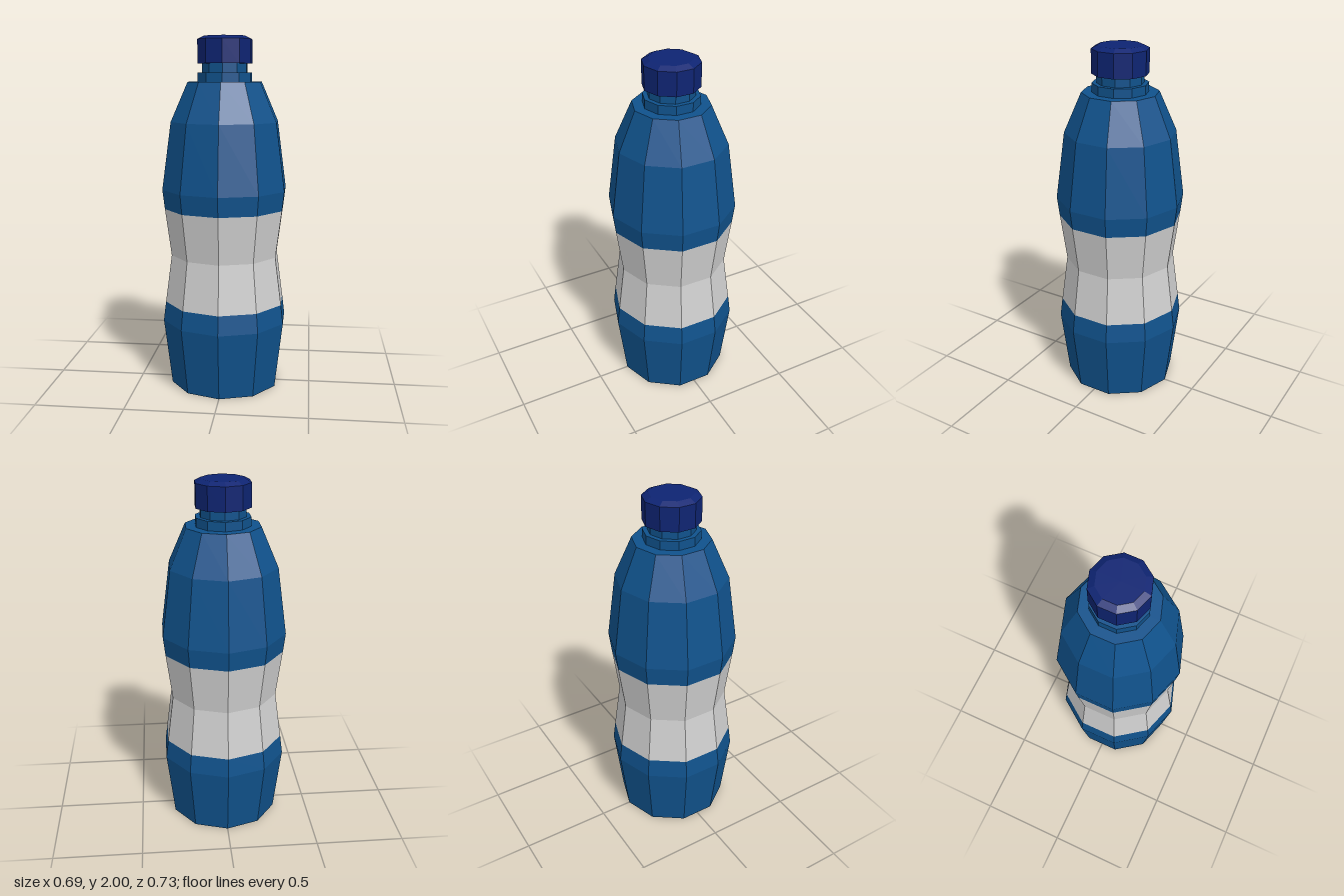
import * as THREE from 'three';

const SIDES = 10;

function material(name, color) {
  const m = new THREE.MeshStandardMaterial({ color, flatShading: true });
  m.name = name;
  return m;
}

// Ten-sided ring from [radius, height] points, listed bottom to top
function turned(name, profile, mat) {
  const points = profile.map(([r, y]) => new THREE.Vector2(r, y));
  const mesh = new THREE.Mesh(new THREE.LatheGeometry(points, SIDES), mat);
  mesh.name = name;
  return mesh;
}

export function createModel() {
  const blue = material('bottle blue', 0x10528c);
  const grey = material('label grey', 0xd0d0d0);
  const navy = material('cap navy', 0x0e2472);

  const bottle = new THREE.Group();
  bottle.name = 'bottle';
  bottle.add(
    // Closed base, up to the lower edge of the label
    turned('lowerBody', [[0, 0], [0.316, 0], [0.363, 0.385], [0.349, 0.495]], blue),
    // Label wrapped around the pinched waist
    turned('label', [[0.349, 0.495], [0.312, 0.77], [0.348, 1.04]], grey),
    // Upper body and sloping shoulder with a flat top
    turned('upperBody', [[0.348, 1.04], [0.361, 1.15], [0.309, 1.53], [0.212, 1.75], [0.12, 1.75]], blue),
    // Collar ring and narrower neck
    turned('neck', [[0.155, 1.75], [0.155, 1.8], [0.129, 1.8], [0.129, 1.85]], blue),
    // Screw cap with a small bevel around its top
    turned('cap', [[0, 1.85], [0.156, 1.85], [0.156, 1.982], [0.12, 2], [0, 2]], navy),
  );
  return bottle;
}
